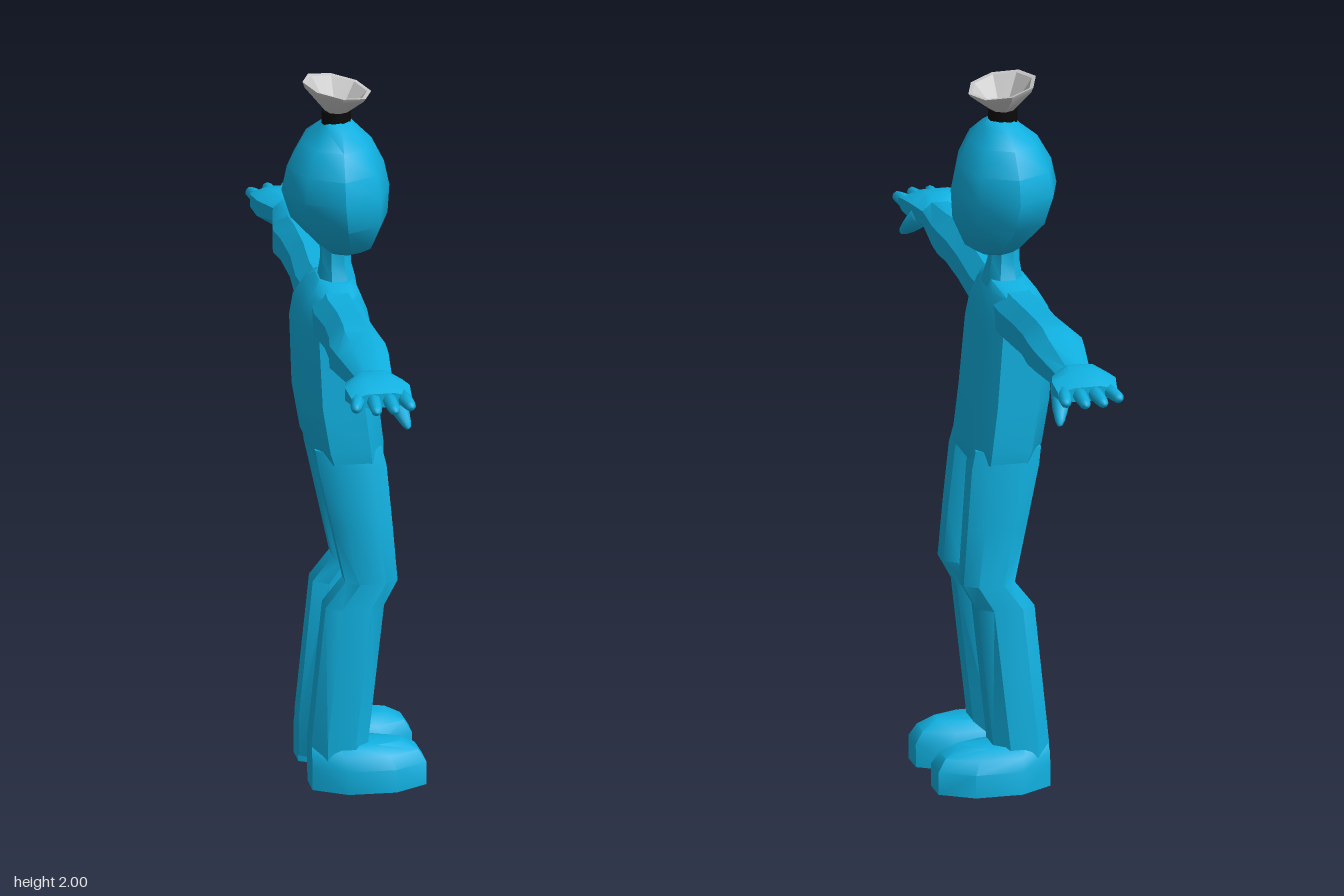
import * as THREE from 'three';
import { toCreasedNormals } from 'three/addons/utils/BufferGeometryUtils.js';

// Unit cross-sections: a box with cut corners, and an octagon with corners on the axes
const cutBox = (k) => [[1, -k], [1, k], [k, 1], [-k, 1], [-1, k], [-1, -k], [-k, -1], [k, -1]];
const octagon = Array.from({ length: 8 }, (_, i) => [Math.cos(i * Math.PI / 4), Math.sin(i * Math.PI / 4)]);

// Skin sections [t, aMin, aMax, bMin, bMax] along y (a = x, b = z) or z (a = x, b = y)
function loft(axis, shape, sections, side = 1, crease = 0.7) {
  const pos = [], index = [], n = shape.length;
  const flip = (axis === 'y') !== (side < 0);
  const tri = (a, b, c) => (flip ? index.push(a, c, b) : index.push(a, b, c));
  for (const [t, a0, a1, b0, b1] of sections) {
    for (const [u, v] of shape) {
      const a = (a0 + a1) / 2 + u * (a1 - a0) / 2;
      const b = (b0 + b1) / 2 + v * (b1 - b0) / 2;
      if (axis === 'y') pos.push(a, t, b * side);
      else pos.push(a, b, t * side);
    }
  }
  const last = (sections.length - 1) * n;
  for (let r = 0; r < last; r += n) {
    for (let j = 0; j < n; j++) {
      const k = (j + 1) % n;
      tri(r + j, r + k, r + n + k);
      tri(r + j, r + n + k, r + n + j);
    }
  }
  for (let j = 1; j < n - 1; j++) {
    tri(0, j + 1, j);
    tri(last, last + j, last + j + 1);
  }
  const g = new THREE.BufferGeometry();
  g.setAttribute('position', new THREE.Float32BufferAttribute(pos, 3));
  g.setIndex(index);
  return toCreasedNormals(g, crease);
}

// Rounded tapering digit from point a to point b
function digit(a, b, r0, r1) {
  const from = new THREE.Vector3(...a), dir = new THREE.Vector3(...b).sub(from);
  const h = dir.length();
  const profile = [[0, 0], [r0, 0], [(r0 + r1) / 2, h * 0.55], [r1, h * 0.85], [r1 * 0.55, h * 0.97], [0, h]];
  const g = new THREE.LatheGeometry(profile.map((p) => new THREE.Vector2(...p)), 8);
  g.applyQuaternion(new THREE.Quaternion().setFromUnitVectors(new THREE.Vector3(0, 1, 0), dir.normalize()));
  return g.translate(...a);
}

export function createModel() {
  const model = new THREE.Group();
  const blue = new THREE.MeshStandardMaterial({ color: 0x10b0e0 });
  blue.name = 'blue skin';
  const black = new THREE.MeshStandardMaterial({ color: 0x0a0a0a });
  black.name = 'black collar';
  const grey = new THREE.MeshStandardMaterial({ color: 0xcacaca, side: THREE.DoubleSide });
  grey.name = 'light grey horn';
  const add = (name, geometry, material = blue, parent = model) => {
    const mesh = new THREE.Mesh(geometry, material);
    mesh.name = name;
    parent.add(mesh);
    return mesh;
  };

  // Head, neck and torso
  add('head', loft('y', octagon, [
    [1.51, -0.07, 0.04, -0.06, 0.06],
    [1.53, -0.09, 0.07, -0.1, 0.1],
    [1.61, -0.165, 0.105, -0.167, 0.167],
    [1.69, -0.19, 0.11, -0.19, 0.19],
    [1.76, -0.175, 0.095, -0.175, 0.175],
    [1.83, -0.135, 0.06, -0.135, 0.135],
    [1.87, -0.085, 0.02, -0.08, 0.08],
    [1.89, -0.07, 0.0, -0.035, 0.035],
  ], 1, 0.9));
  add('neck', loft('y', cutBox(0.45), [
    [1.38, -0.1, 0.02, -0.08, 0.08],
    [1.44, -0.085, 0.01, -0.06, 0.06],
    [1.48, -0.08, 0.0, -0.045, 0.045],
    [1.56, -0.08, 0.0, -0.05, 0.05],
  ]));
  add('torso', loft('y', cutBox(0.55), [
    [0.935, -0.11, 0.08, -0.158, 0.158],
    [0.97, -0.125, 0.08, -0.162, 0.162],
    [1.1, -0.148, 0.065, -0.158, 0.158],
    [1.3, -0.155, 0.047, -0.155, 0.155],
    [1.36, -0.145, 0.035, -0.152, 0.152],
    [1.41, -0.115, 0.015, -0.14, 0.14],
    [1.435, -0.09, 0.005, -0.075, 0.075],
  ]));

  for (const side of [1, -1]) {
    const label = side > 0 ? 'left' : 'right';

    // Arm, bulging a little at the elbow
    add(label + 'Arm', loft('z', cutBox(0.45), [
      [0.08, -0.12, 0.015, 1.28, 1.42],
      [0.16, -0.125, 0.015, 1.28, 1.42],
      [0.3, -0.118, 0.012, 1.292, 1.43],
      [0.42, -0.125, 0.015, 1.302, 1.438],
      [0.49, -0.135, 0.02, 1.3, 1.44],
      [0.56, -0.125, 0.018, 1.308, 1.43],
      [0.74, -0.095, 0.0, 1.325, 1.405],
    ], side));

    // Hand with four fingers and a drooping thumb
    const hand = new THREE.Group();
    hand.name = label + 'Hand';
    model.add(hand);
    add('palm', loft('z', cutBox(0.45), [
      [0.72, -0.095, 0.0, 1.325, 1.405],
      [0.77, -0.135, 0.022, 1.32, 1.42],
      [0.82, -0.145, 0.035, 1.335, 1.415],
      [0.875, -0.135, 0.032, 1.35, 1.39],
    ], side), blue, hand);
    for (const [x0, x1, tip] of [[-0.113, -0.132, 0.93], [-0.072, -0.078, 0.965], [-0.03, -0.026, 0.965], [0.01, 0.024, 0.935]]) {
      add('finger', digit([x0, 1.37, side * 0.85], [x1, 1.365, side * tip], 0.021, 0.015), blue, hand);
    }
    add('thumb', digit([-0.005, 1.36, side * 0.765], [0.025, 1.28, side * 0.865], 0.032, 0.014), blue, hand);

    // Leg, bent forward at the knee
    add(label + 'Leg', loft('y', cutBox(0.5), [
      [0.02, -0.13, 0.03, 0.035, 0.185],
      [0.13, -0.13, 0.028, 0.035, 0.185],
      [0.52, -0.09, 0.072, 0.048, 0.178],
      [0.59, -0.035, 0.11, 0.055, 0.172],
      [0.75, -0.07, 0.097, 0.045, 0.168],
      [0.92, -0.108, 0.082, 0.028, 0.16],
      [0.97, -0.115, 0.07, 0.02, 0.155],
    ], side));

    // Chunky foot
    add(label + 'Foot', loft('y', cutBox(0.42), [
      [0, -0.13, 0.187, 0.025, 0.222],
      [0.065, -0.13, 0.187, 0.028, 0.222],
      [0.1, -0.13, 0.165, 0.045, 0.205],
      [0.125, -0.128, 0.12, 0.075, 0.175],
    ], side));
  }

  // Collar on the crown, with skin showing inside it
  const collar = new THREE.CylinderGeometry(0.041, 0.041, 0.036, 16);
  add('collar', collar, black).position.set(-0.038, 1.897, 0);
  const inside = new THREE.CylinderGeometry(0.033, 0.033, 0.006, 8);
  add('hornFloor', inside).position.set(-0.038, 1.916, 0);

  // Open horn with a tilted rim and a thin lip
  const horn = new THREE.LatheGeometry(
    [[0.035, 0], [0.1, 0.067], [0.114, 0.069], [0.106, 0.056], [0.038, 0]].map((p) => new THREE.Vector2(...p)), 8);
  const p = horn.attributes.position;
  for (let i = 0; i < p.count; i++) {
    const x = p.getX(i) * 0.84, y = p.getY(i);
    p.setXYZ(i, x, y - x * 0.19 * (y / 0.069), p.getZ(i));
  }
  horn.deleteAttribute('normal');
  add('horn', toCreasedNormals(horn, 0.4), grey).position.set(-0.036, 1.913, 0);

  return model;
}
